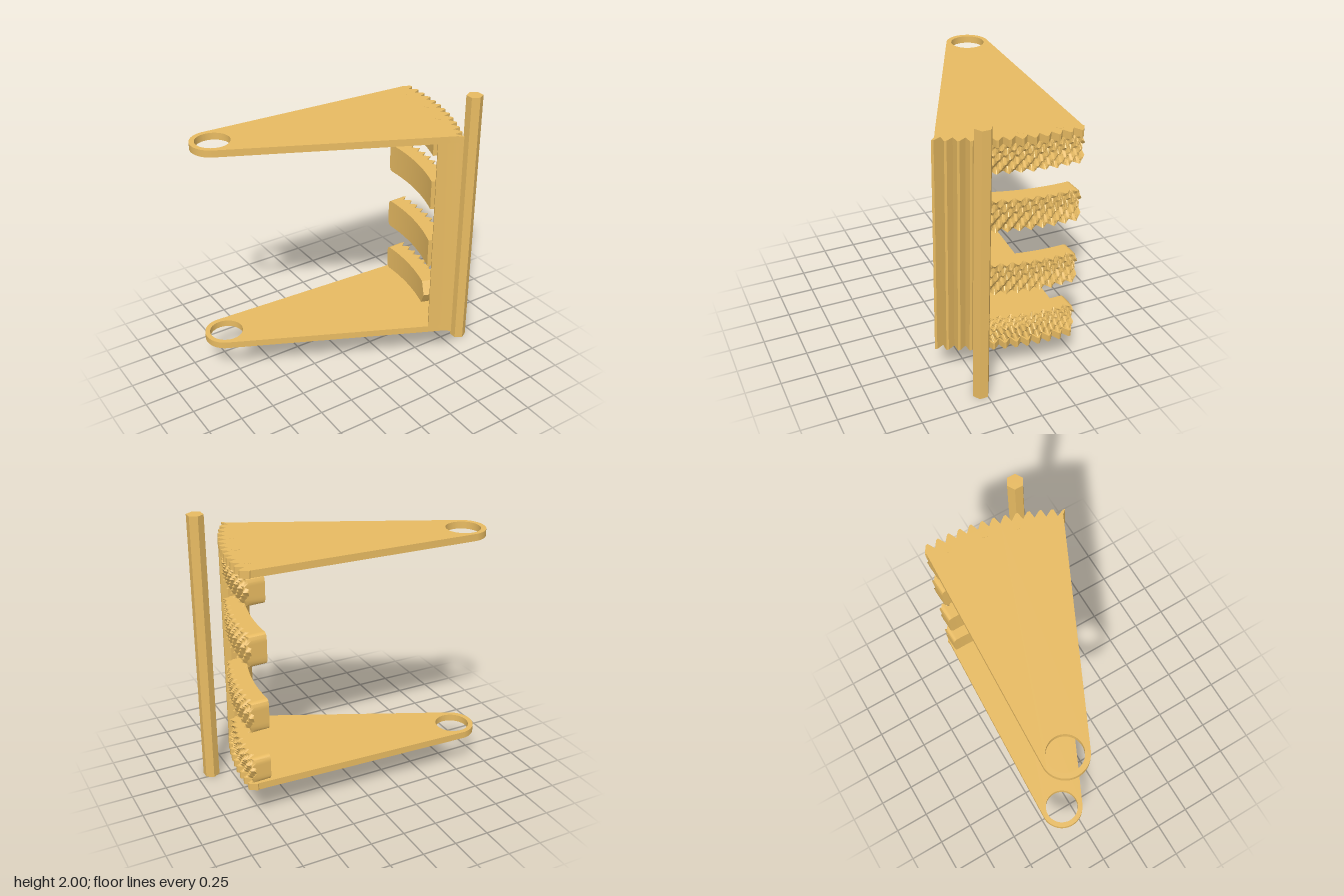
import * as THREE from 'three';
import { toCreasedNormals } from 'three/addons/utils/BufferGeometryUtils.js';

const PX = -0.79, PZ = -0.35;       // pivot axis of the sector
const PITCH = 0.0475, FIRST = -0.03; // tooth spacing and first tooth angle
const ROOT = 1.605, TIP = 1.657;

const at = (r, a) => new THREE.Vector2(PX + r * Math.cos(a), PZ + r * Math.sin(a));

// Leaning tooth profile: radius of the toothed rim at a given angle
function rim(a) {
  const u = (a - FIRST) / PITCH + 0.6;
  const t = u - Math.floor(u);
  return ROOT + (TIP - ROOT) * (t < 0.6 ? t / 0.6 : (1 - t) / 0.4);
}

// Rim points with a narrow flat on each tooth tip
function rimPoints(first, last) {
  const pts = [];
  for (let i = first; i <= last; i++) {
    const a = FIRST + i * PITCH;
    pts.push(at(ROOT, a - PITCH * 0.55), at(TIP - 0.004, a - PITCH * 0.12), at(TIP, a + PITCH * 0.08));
  }
  return pts;
}

// Extrude an outline drawn in (x, z) between two heights
function slab(shape, y0, y1) {
  const g = new THREE.ExtrudeGeometry(shape, { depth: y1 - y0, bevelEnabled: false, curveSegments: 40 });
  g.rotateX(Math.PI / 2);
  g.translate(0, y1, 0);
  return toCreasedNormals(g, 0.5);
}

function plateShape() {
  const pts = [];
  // rounded pivot end, from the front tangent round to the back tangent
  for (let i = 0; i <= 32; i++) pts.push(at(0.155, 2.02 + (i / 32) * 2.63));
  pts.push(at(1.595, -0.052), ...rimPoints(0, 12), new THREE.Vector2(0.6, 0.475), new THREE.Vector2(0.48, 0.42));
  const shape = new THREE.Shape(pts);
  const hole = new THREE.Path();
  hole.absarc(PX, PZ, 0.12, 0, Math.PI * 2, true);
  shape.holes.push(hole);
  return shape;
}

function wallShape() {
  return new THREE.Shape([
    new THREE.Vector2(0.65, 0.235), ...rimPoints(9, 12),
    new THREE.Vector2(0.6, 0.475), new THREE.Vector2(0.48, 0.42), new THREE.Vector2(0.55, 0.33),
  ]);
}

// Curved rib with chevron teeth, lofted along the arc
function ribGeometry(y0, y1, aEnd, point) {
  const pos = [], idx = [], N = 90, ROWS = 6, M = ROWS * 2 + 2;
  const aStart = -0.05, mid = (y0 + y1) / 2, half = (y1 - y0) / 2;
  for (let i = 0; i <= N; i++) {
    const s = i / N;
    // rounded corners at the free end
    const d = Math.max(0, 1 - (s * (aEnd - aStart)) / 0.02);
    const h = half - 0.03 * (1 - Math.sqrt(1 - d * d));
    for (let j = 0; j < M; j++) {
      const outer = j <= ROWS;
      const v = outer ? -1 + (2 * j) / ROWS : 1 - (2 * (j - ROWS - 1)) / ROWS;
      const a = aStart + s * (aEnd - aStart + point * (1 - Math.abs(v)));
      const r = outer ? rim(a + 0.05 * (1 - Math.abs(v))) - 0.012 : 1.5;
      const p = at(r, a);
      pos.push(p.x, mid + v * h, p.y);
    }
  }
  for (let i = 0; i < N; i++) {
    for (let j = 0; j < M; j++) {
      const k = (j + 1) % M, a = i * M + j, b = i * M + k;
      idx.push(a, b, a + M, b, b + M, a + M);
    }
  }
  // end caps
  const e = N * M;
  for (let j = 0; j < ROWS; j++) {
    const k = M - 1 - j;
    idx.push(j, k, j + 1, j + 1, k, k - 1);
    idx.push(e + j, e + j + 1, e + k, e + j + 1, e + k - 1, e + k);
  }
  const g = new THREE.BufferGeometry();
  g.setAttribute('position', new THREE.Float32BufferAttribute(pos, 3));
  g.setIndex(idx);
  return toCreasedNormals(g, 0.5);
}

export function createModel() {
  const group = new THREE.Group();
  const mat = new THREE.MeshStandardMaterial({ color: 0xe8bb62 });
  const add = (name, geo) => {
    const m = new THREE.Mesh(geo, mat);
    m.name = name;
    group.add(m);
    return m;
  };

  // Two pivoting sector plates
  add('lowerPlate', slab(plateShape(), 0.26, 0.31));
  add('upperPlate', slab(plateShape(), 1.79, 1.84));

  // Toothed wall joining the plates
  add('toothedWall', slab(wallShape(), 0.31, 1.79));

  // Curved toothed ribs; the lowest stops short of the wall in a point
  [[0.31, 0.5, 0.33, 0.035], [0.7, 0.92, 0.4, 0], [1.18, 1.4, 0.4, 0], [1.6, 1.79, 0.4, 0]]
    .forEach((r, i) => add('toothedRib' + (i + 1), ribGeometry(...r)));

  // Flush pins through the plates
  for (const a of [0.035, 0.2, 0.34]) {
    for (const y of [0.285, 1.815]) {
      const p = at(1.56, a);
      add('pin', new THREE.CylinderGeometry(0.027, 0.027, 0.052, 20)).position.set(p.x, y, p.y);
    }
  }

  // Hexagonal driving rod
  const rod = new THREE.CylinderGeometry(0.059, 0.059, 2, 6);
  add('hexRod', toCreasedNormals(rod, 0.5)).position.set(0.89, 1, 0.283);

  return group;
}
